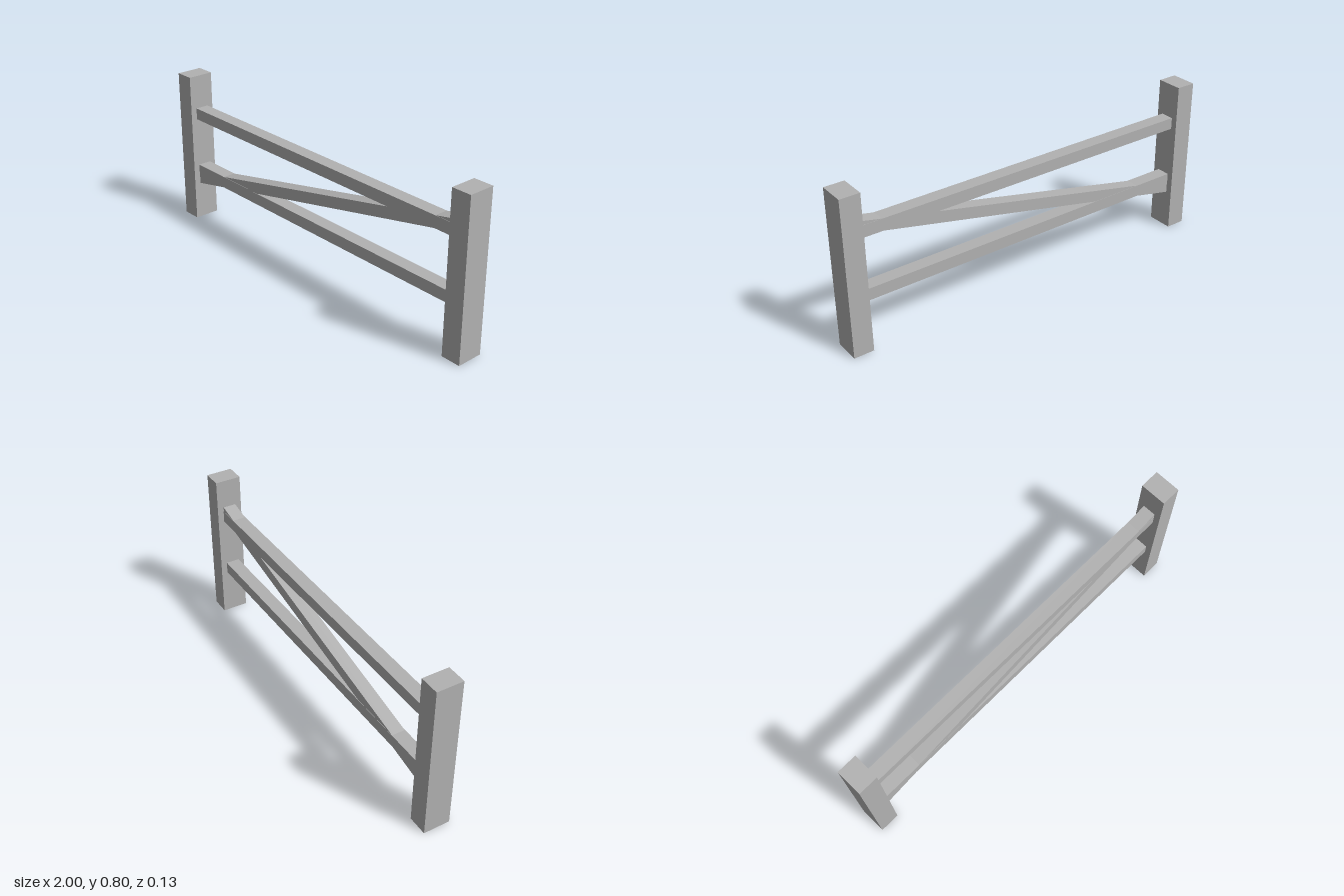
import * as THREE from 'three';

export function createModel() {
  const group = new THREE.Group();
  const wood = new THREE.MeshStandardMaterial({ color: 0xb2b2b2 });
  wood.name = 'greyWood';

  const addBox = (name, w, h, d, x, y) => {
    const mesh = new THREE.Mesh(new THREE.BoxGeometry(w, h, d), wood);
    mesh.name = name;
    mesh.position.set(x, y, 0);
    group.add(mesh);
  };

  // Upright posts
  addBox('leftPost', 0.1, 0.8, 0.134, 0.95, 0.4);
  addBox('rightPost', 0.1, 0.8, 0.134, -0.95, 0.4);

  // Horizontal rails, let slightly into the posts
  addBox('upperRail', 1.82, 0.06, 0.07, 0, 0.595);
  addBox('lowerRail', 1.82, 0.06, 0.07, 0, 0.275);

  // Diagonal brace, a touch thinner than the rails, with ends cut upright
  const end = 0.91, rise = 0.217 * end, half = 0.03, mid = 0.423, depth = 0.067;
  const outline = new THREE.Shape([
    new THREE.Vector2(-end, mid - rise - half),
    new THREE.Vector2(end, mid + rise - half),
    new THREE.Vector2(end, mid + rise + half),
    new THREE.Vector2(-end, mid - rise + half),
  ]);
  const brace = new THREE.Mesh(
    new THREE.ExtrudeGeometry(outline, { depth, bevelEnabled: false }), wood);
  brace.name = 'diagonalBrace';
  brace.position.z = -depth / 2;
  group.add(brace);

  return group;
}
